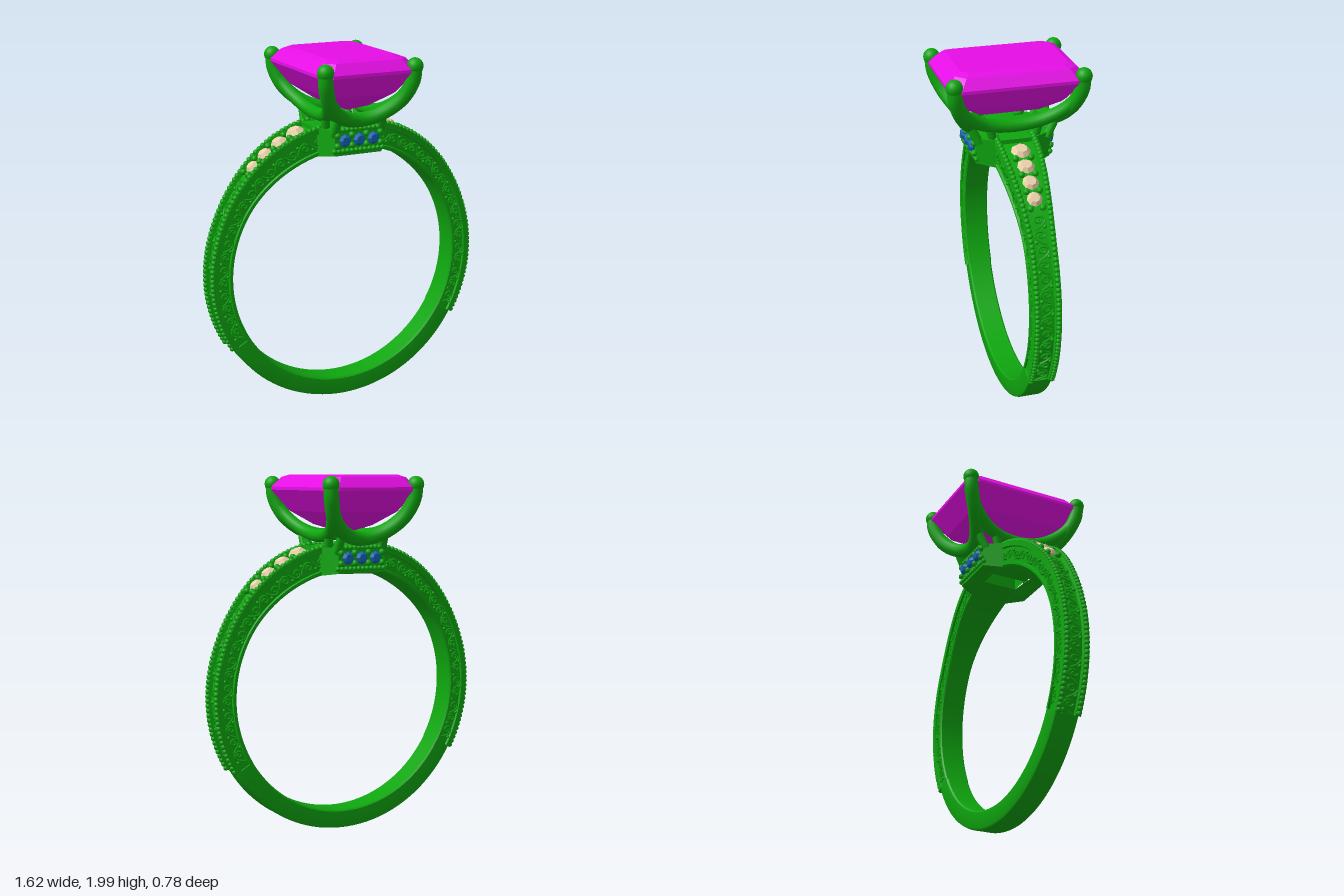
import * as THREE from 'three';
import { mergeGeometries, toCreasedNormals } from 'three/addons/utils/BufferGeometryUtils.js';
import { ConvexGeometry } from 'three/addons/geometries/ConvexGeometry.js';

const CY = 0.8, IN = 0.684, DEG = Math.PI / 180, RECESS = 0.012;
const JOINT = 120 * DEG, SHOULDER = 9 * DEG;
const metal = new THREE.MeshStandardMaterial({ color: 0x0fa60f });
const gem = (color) => new THREE.MeshStandardMaterial({ color, flatShading: true });
const magenta = gem(0xe60ee6), cream = gem(0xe8d0a8), blue = gem(0x1264b4);

// Point on the ring: angle from the top, radius, depth
const at = (t, r, z) => new THREE.Vector3(r * Math.sin(t), CY + r * Math.cos(t), z);
const step = (t, a, b) => THREE.MathUtils.smoothstep(b - Math.abs(t), 0, b - a);
const rimRadius = (t) => 0.797 + 0.033 * step(t, 15 * DEG, 75 * DEG);
const halfWidth = (t) => 0.073 + 0.043 * step(t, 10 * DEG, 62 * DEG);

// Sweep a closed [radius, z] section around the ring, with end caps
function sweep(a0, a1, n, section) {
  const pos = [], idx = [], m = section(a0).length;
  for (let i = 0; i <= n; i++) {
    const t = a0 + (a1 - a0) * i / n;
    for (const [r, z] of section(t)) pos.push(...at(t, r, z).toArray());
  }
  for (let i = 0; i < n; i++) for (let j = 0; j < m; j++) {
    const a = i * m + j, b = i * m + (j + 1) % m;
    idx.push(a, b, b + m, a, b + m, a + m);
  }
  [a0, a1].forEach((t, end) => {
    const c = pos.length / 3, base = end ? n * m : 0;
    pos.push(...at(t, 0.735, 0).toArray());
    for (let j = 0; j < m; j++) {
      const a = base + j, b = base + (j + 1) % m;
      idx.push(c, ...(end ? [a, b] : [b, a]));
    }
  });
  const g = new THREE.BufferGeometry();
  g.setAttribute('position', new THREE.Float32BufferAttribute(pos, 3));
  g.setIndex(idx);
  return toCreasedNormals(g, 0.5);
}

// Half a section is listed and mirrored in z
const mirrored = (half) => [...half, ...half.map(([r, z]) => [r, -z]).reverse()];
const plainSection = () => mirrored([
  [IN, -0.062], [IN + 0.008, -0.07], [0.775, -0.07], [0.786, -0.064], [0.79, -0.052]]);
const carvedSection = (t) => {
  const R = rimRadius(t), w = halfWidth(t);
  return mirrored([
    [IN, -w + 0.007], [IN + 0.007, -w], [IN + 0.02, -w], [IN + 0.024, -w + RECESS],
    [R - 0.034, -w + RECESS], [R - 0.03, -w], [R, -w], [R, -w + 0.03], [R - 0.018, -w + 0.034]]);
};

// Curl with a tail, drawn in (u, v) and laid on a surface by map()
function scroll(flip, map) {
  const pts = [];
  for (let i = 0; i <= 12; i++) {
    const a = i / 12 * 2.6 * Math.PI, r = 0.005 + 0.019 * i / 12;
    pts.push(map(-r * Math.cos(a), flip * r * Math.sin(a)));
  }
  pts.push(map(0.03, flip * 0.008), map(0.05, -flip * 0.018));
  return new THREE.TubeGeometry(new THREE.CatmullRomCurve3(pts), 30, 0.0065, 4);
}

const bead = (p, r) => new THREE.SphereGeometry(r, 8, 6).translate(p.x, p.y, p.z);

// Small faceted stone with its crown facing along dir
function accentStone(p, dir, r) {
  const g = mergeGeometries([
    new THREE.CylinderGeometry(r * 0.6, r, r * 0.45, 8).translate(0, r * 0.35, 0),
    new THREE.CylinderGeometry(r, r * 0.5, r * 0.5, 8).translate(0, -r * 0.12, 0)]);
  g.applyQuaternion(new THREE.Quaternion().setFromUnitVectors(new THREE.Vector3(0, 1, 0), dir));
  return g.translate(p.x, p.y, p.z);
}

export function createModel() {
  const model = new THREE.Group();
  const add = (name, geometry, material = metal) => {
    const mesh = new THREE.Mesh(geometry, material);
    mesh.name = name;
    model.add(mesh);
  };

  // Plain lower band and the carved shoulders
  add('lowerBand', sweep(JOINT, 2 * Math.PI - JOINT, 64, plainSection));
  add('leftShoulder', sweep(SHOULDER, JOINT, 64, carvedSection));
  add('rightShoulder', sweep(-JOINT, -SHOULDER, 64, carvedSection));

  const rails = [], scrolls = [], seats = [], shoulderStones = [];
  for (const sx of [1, -1]) {
    // Beaded rails along both outer edges
    for (let i = 0; i < 58; i++) {
      const t = 11 * DEG + (JOINT - 12 * DEG) * i / 57;
      for (const sz of [1, -1])
        rails.push(bead(at(sx * t, rimRadius(t), sz * (halfWidth(t) - 0.015)), 0.0155));
    }
    // Scrolls on both side faces
    for (let i = 0; i < 18; i++) {
      const t = 15 * DEG + i * 5.8 * DEG, R = rimRadius(t), mid = (IN + R - 0.01) / 2;
      for (const sz of [1, -1]) {
        const place = (u, v) => at(sx * (t + u / 0.74), mid + v * 1.1,
          sz * (halfWidth(t + u / 0.74) - RECESS + 0.003));
        scrolls.push(scroll(i % 2 ? 1 : -1, place));
        scrolls.push(bead(place(0.036, (i % 2 ? 1 : -1) * 0.02), 0.009));
      }
    }
    // Scrolls in the outer channel below the stones
    for (let i = 0; i < 13; i++) {
      const t = 49 * DEG + i * 5.6 * DEG, flip = i % 2 ? 1 : -1;
      const place = (u, v) => at(sx * (t + u / 0.79), rimRadius(t) - 0.015, v * 1.4);
      scrolls.push(scroll(flip, place), bead(place(0.034, flip * 0.02), 0.011));
    }
    // Graduated stones held by bead pairs
    [[20, 0.054], [27.4, 0.048], [34.4, 0.045], [41, 0.042]].forEach(([deg, r]) => {
      const t = deg * DEG, dir = at(sx * t, 1, 0).sub(new THREE.Vector3(0, CY, 0));
      shoulderStones.push(accentStone(at(sx * t, rimRadius(t) - 0.012, 0), dir, r));
      for (const sz of [1, -1])
        seats.push(bead(at(sx * (t + 3.6 * DEG), rimRadius(t) - 0.003, sz * r * 0.78), 0.018));
    });
  }
  add('beadedRails', mergeGeometries(rails));
  add('scrollwork', mergeGeometries(scrolls));
  add('shoulderStoneBeads', mergeGeometries(seats));
  add('shoulderStones', mergeGeometries(shoulderStones), cream);

  // Gallery under the setting, with an open window
  const plan = new THREE.Shape([[0.2, 0.1], [0.14, 0.205], [-0.14, 0.205], [-0.2, 0.1],
    [-0.2, -0.1], [-0.14, -0.205], [0.14, -0.205], [0.2, -0.1]].map(([x, y]) => new THREE.Vector2(x, y)));
  plan.holes.push(new THREE.Path([[-0.055, -0.1], [-0.055, 0.1], [0.055, 0.1], [0.055, -0.1]]
    .map(([x, y]) => new THREE.Vector2(x, y))));
  const gallery = new THREE.ExtrudeGeometry(plan, { depth: 0.135, bevelEnabled: false });
  gallery.rotateX(-Math.PI / 2).translate(0, 1.475, 0);
  // Raise the underside to meet the finger hole
  const gp = gallery.attributes.position;
  for (let i = 0; i < gp.count; i++)
    if (gp.getY(i) < 1.5) gp.setY(i, CY + Math.sqrt(IN * IN - gp.getX(i) ** 2));
  gallery.computeVertexNormals();
  add('gallery', gallery);

  // Side stones and bead trim on the front and back of the gallery
  const trim = [], sideStones = [];
  for (const sz of [1, -1]) {
    for (const x of [-0.085, 0, 0.085])
      sideStones.push(accentStone(new THREE.Vector3(x, 1.553, sz * 0.212), new THREE.Vector3(0, 0, sz), 0.036));
    for (const x of [-0.128, -0.043, 0.043, 0.128]) for (const y of [1.525, 1.582])
      trim.push(bead(new THREE.Vector3(x, y, sz * 0.212), 0.018));
    for (let i = 0; i < 12; i++) for (const y of [1.495, 1.61])
      trim.push(bead(new THREE.Vector3(-0.143 + i * 0.026, y, sz * 0.205), 0.014));
  }
  add('galleryBeads', mergeGeometries(trim));
  add('galleryStones', mergeGeometries(sideStones), blue);

  // Claws: four U-shaped rails meeting at the corners, with round tips
  const frontHalf = [[0.26, 1.945, 0.345], [0.254, 1.87, 0.338], [0.21, 1.765, 0.295], [0.11, 1.682, 0.235]];
  const sideHalf = [[0.26, 1.945, 0.345], [0.254, 1.87, 0.338], [0.215, 1.775, 0.285], [0.165, 1.694, 0.16]];
  const claws = [], tips = [];
  const tube = (pts, n, r) => new THREE.TubeGeometry(
    new THREE.CatmullRomCurve3(pts.map((p) => new THREE.Vector3(...p))), n, r, 12);
  for (const s of [1, -1]) {
    const front = frontHalf.map(([x, y, z]) => [x, y, z * s]);
    claws.push(tube([...front, [0, 1.657, 0.21 * s], ...front.map(([x, y, z]) => [-x, y, z]).reverse()], 48, 0.04));
    const side = sideHalf.map(([x, y, z]) => [x * s, y, z]);
    claws.push(tube([...side, [0.15 * s, 1.668, 0], ...side.map(([x, y, z]) => [x, y, -z]).reverse()], 48, 0.036));
    for (const q of [1, -1]) {
      tips.push(new THREE.SphereGeometry(0.045, 20, 14).translate(0.26 * s, 1.947, 0.345 * q));
      // Short posts joining the claws to the gallery
      claws.push(tube([[0.14 * s, 1.58, 0.185 * q], [0.13 * s, 1.69, 0.24 * q]], 4, 0.024));
      claws.push(tube([[0.15 * s, 1.58, 0.11 * q], [0.163 * s, 1.69, 0.14 * q]], 4, 0.024));
    }
  }
  add('claws', mergeGeometries(claws));
  add('clawTips', mergeGeometries(tips));

  // Centre stone: stepped rectangles with cut corners [y, half x, half z, cut]
  const corners = [];
  for (const [y, x, z, c] of [[2, 0.2, 0.29, 0.04], [1.985, 0.24, 0.325, 0.05], [1.932, 0.285, 0.37, 0.06],
    [1.915, 0.285, 0.37, 0.06], [1.8, 0.205, 0.29, 0.045], [1.725, 0.1, 0.18, 0.025], [1.69, 0.008, 0.085, 0.004]])
    for (const sx of [1, -1]) for (const sz of [1, -1])
      corners.push(new THREE.Vector3(sx * x, y, sz * (z - c)), new THREE.Vector3(sx * (x - c), y, sz * z));
  add('centreStone', new ConvexGeometry(corners), magenta);

  return model;
}
